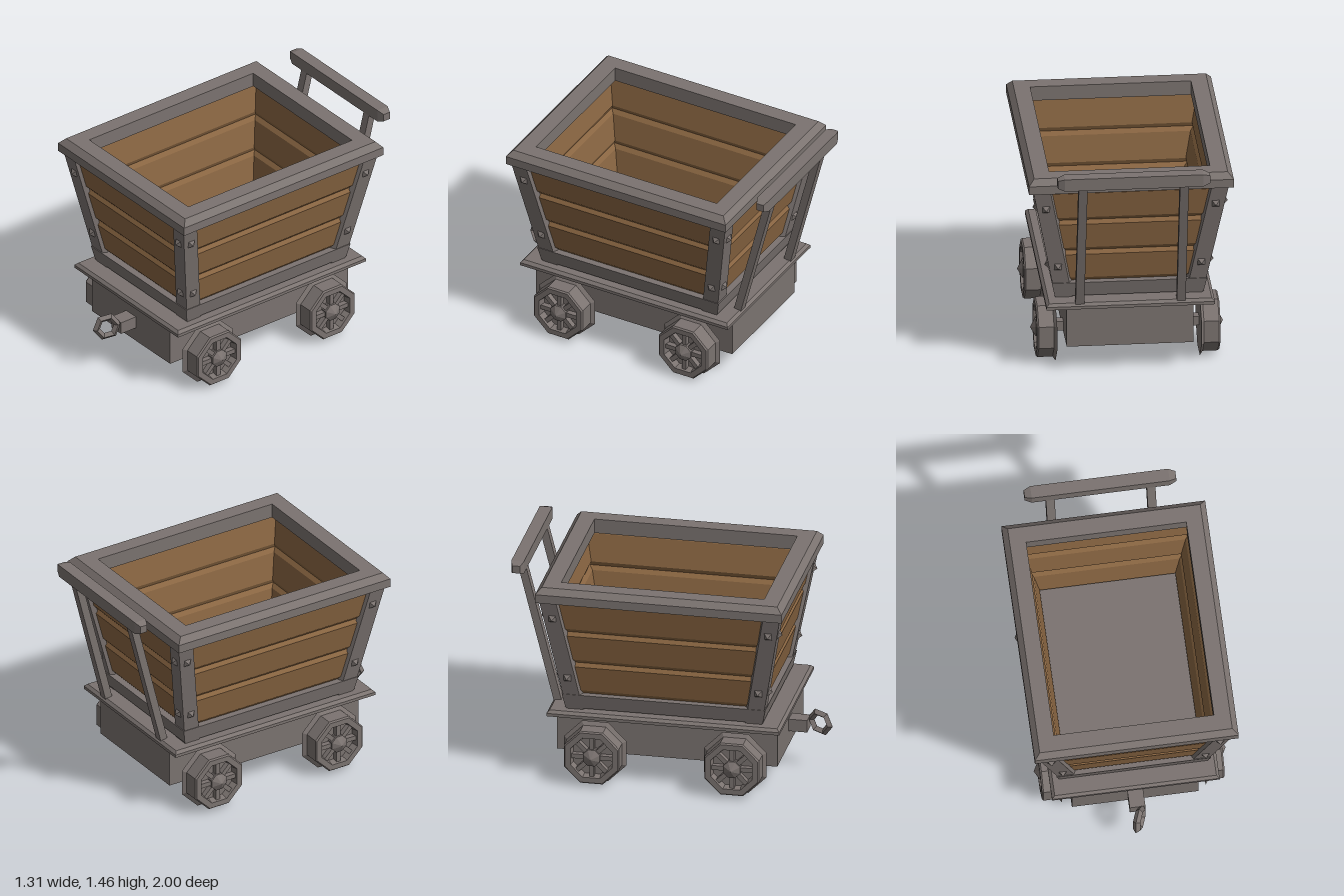
import * as THREE from 'three';

const metal = new THREE.MeshStandardMaterial({ color: 0x7b7370 });
metal.name = 'grey metal';
const wood = new THREE.MeshStandardMaterial({ color: 0x8a6642 });
wood.name = 'brown wood';

// Faceted copy of a geometry
function flat(geo) {
  const g = geo.index ? geo.toNonIndexed() : geo;
  g.computeVertexNormals();
  return g;
}

function add(parent, name, geo, mat, x = 0, y = 0, z = 0) {
  const mesh = new THREE.Mesh(flat(geo), mat);
  mesh.name = name;
  mesh.position.set(x, y, z);
  parent.add(mesh);
  return mesh;
}

function quadGeometry(quads) {
  const pos = [];
  for (const [a, b, c, d] of quads) pos.push(...a, ...b, ...c, ...a, ...c, ...d);
  const g = new THREE.BufferGeometry();
  g.setAttribute('position', new THREE.Float32BufferAttribute(pos, 3));
  return g;
}

// Sweep a profile of [halfX, halfZ, y] around a rectangle with mitred corners
function rectSweep(profile, closed = false) {
  const signs = [[-1, 1], [1, 1], [1, -1], [-1, -1]];
  const at = ([hx, hz, y], k) => [signs[k % 4][0] * hx, y, signs[k % 4][1] * hz];
  const quads = [];
  const n = profile.length;
  for (let i = 0; i < (closed ? n : n - 1); i++) {
    const p = profile[i], q = profile[(i + 1) % n];
    for (let k = 0; k < 4; k++) quads.push([at(p, k), at(p, k + 1), at(q, k + 1), at(q, k)]);
  }
  return quadGeometry(quads);
}

// Sloping outer faces of the tub
const wallX = (y) => 0.492 + (y - 0.6) * 0.191;
const wallZ = (y) => 0.655 + (y - 0.6) * 0.184;

// L-shaped corner post following the slope
function postGeometry(sx, sz) {
  const section = [[0, 0], [0.108, 0], [0.125, 0.035], [0.035, 0.035], [0.035, 0.125], [0, 0.108]];
  const at = ([a, b], y) => [sx * (wallX(y) - a), y, sz * (wallZ(y) - b)];
  const quads = section.map((p, i) => {
    const q = section[(i + 1) % section.length];
    const [l, r] = sx * sz > 0 ? [q, p] : [p, q];
    return [at(l, 0.485), at(r, 0.485), at(r, 1.3), at(l, 1.3)];
  });
  return quadGeometry(quads);
}

function rivet(parent, x, y, z, normal) {
  const cone = new THREE.ConeGeometry(0.036, 0.028, 4).rotateY(Math.PI / 4).translate(0, 0.012, 0);
  const m = add(parent, 'rivet', cone, metal, x, y, z);
  m.quaternion.setFromUnitVectors(new THREE.Vector3(0, 1, 0), normal.normalize());
}

// Octagonal wheel, outer side towards +x
function makeWheel() {
  const wheel = new THREE.Group();
  wheel.name = 'wheel';
  const lathe = (pts) => new THREE.LatheGeometry(
    pts.map(([a, t]) => new THREE.Vector2(a / Math.cos(Math.PI / 8), t)), 8, Math.PI / 8,
  ).rotateZ(-Math.PI / 2);
  add(wheel, 'wheelRim', lathe([[0, 0], [0.203, 0], [0.178, 0.018], [0.178, 0.115], [0.17, 0.125],
    [0.135, 0.125], [0.125, 0.075], [0, 0.075]]), metal);
  add(wheel, 'hub', lathe([[0.055, 0.07], [0.055, 0.122], [0, 0.155]]), metal);
  for (let i = 0; i < 8; i++) {
    const spoke = new THREE.BoxGeometry(0.04, 0.1, 0.03).translate(0.09, 0.085, 0);
    add(wheel, 'spoke', spoke, metal).rotation.x = (i * Math.PI) / 4;
  }
  return wheel;
}

export function createModel() {
  const model = new THREE.Group();
  model.name = 'mineCart';

  // Undercarriage
  add(model, 'chassis', new THREE.BoxGeometry(0.81, 0.28, 1.43), metal, 0, 0.315, 0.005);
  add(model, 'basePlate', rectSweep([[0, 0, 0.45], [0.537, 0.755, 0.45], [0.537, 0.755, 0.47],
    [0.518, 0.738, 0.488], [0, 0, 0.488]]), metal, 0, 0, 0.005);
  for (const z of [0.46, -0.45]) {
    add(model, 'axle', new THREE.BoxGeometry(0.94, 0.062, 0.062), metal, 0, 0.218, z);
    for (const s of [1, -1]) {
      const wheel = makeWheel();
      wheel.position.set(s * 0.46, 0.205, z);
      if (s < 0) wheel.rotation.y = Math.PI;
      model.add(wheel);
    }
  }

  // Tub floor frame and planked walls
  add(model, 'tubBase', rectSweep([[0, 0, 0.498], [0.475, 0.64, 0.498], [0.495, 0.66, 0.595],
    [0, 0, 0.595]]), metal);
  const edges = [0.595, 0.822, 1.05, 1.285];
  for (let i = 0; i < 3; i++) {
    const lo = edges[i], hi = edges[i + 1], c = 0.027;
    const section = [[0.046, lo], [0.042, lo], [0.022, lo + c], [0.022, hi - c], [0.042, hi],
      [0.046, hi], [0.062, hi - c], [0.062, lo + c]];
    add(model, 'plankRing', rectSweep(section.map(([d, y]) => [wallX(y) - d, wallZ(y) - d, y]), true), wood);
  }

  // Corner posts with rivets on both outer faces
  for (const sx of [1, -1]) {
    for (const sz of [1, -1]) {
      add(model, 'cornerPost', postGeometry(sx, sz), metal);
      for (const y of [0.717, 1.155]) {
        rivet(model, sx * (wallX(y) - 0.057), y, sz * wallZ(y), new THREE.Vector3(0, -0.184, sz));
        rivet(model, sx * wallX(y), y, sz * (wallZ(y) - 0.057), new THREE.Vector3(sx, -0.191, 0));
      }
    }
  }

  // Top rim
  add(model, 'topRim', rectSweep([[0.653, 0.8, 1.28], [0.653, 0.8, 1.337], [0.617, 0.764, 1.376],
    [0.513, 0.658, 1.376], [0.513, 0.658, 1.28]], true), metal);

  // Push handle at the back
  const dy = 0.933, dz = -0.237;
  for (const s of [1, -1]) {
    const bar = new THREE.BoxGeometry(0.056, Math.hypot(dy, dz), 0.05);
    add(model, 'handleBar', bar, metal, s * 0.323, 0.487 + dy / 2, -0.717 + dz / 2)
      .rotation.x = Math.atan2(dz, dy);
  }
  add(model, 'handleGrip', rectSweep([[0, 0, -0.486], [0.025, 0.025, -0.486], [0.041, 0.041, -0.442],
    [0.041, 0.041, 0.442], [0.025, 0.025, 0.486], [0, 0, 0.486]]).rotateZ(-Math.PI / 2),
  metal, 0, 1.425, -0.957);

  // Tow bar and hexagonal ring at the front
  add(model, 'towBar', new THREE.BoxGeometry(0.1, 0.082, 0.13), metal, 0, 0.312, 0.775);
  const ring = add(model, 'towRing', new THREE.TorusGeometry(0.07, 0.024, 4, 6).rotateY(Math.PI / 2),
    metal, 0, 0.33, 0.915);
  ring.rotation.set(0.15, -0.36, 0.15);

  return model;
}
